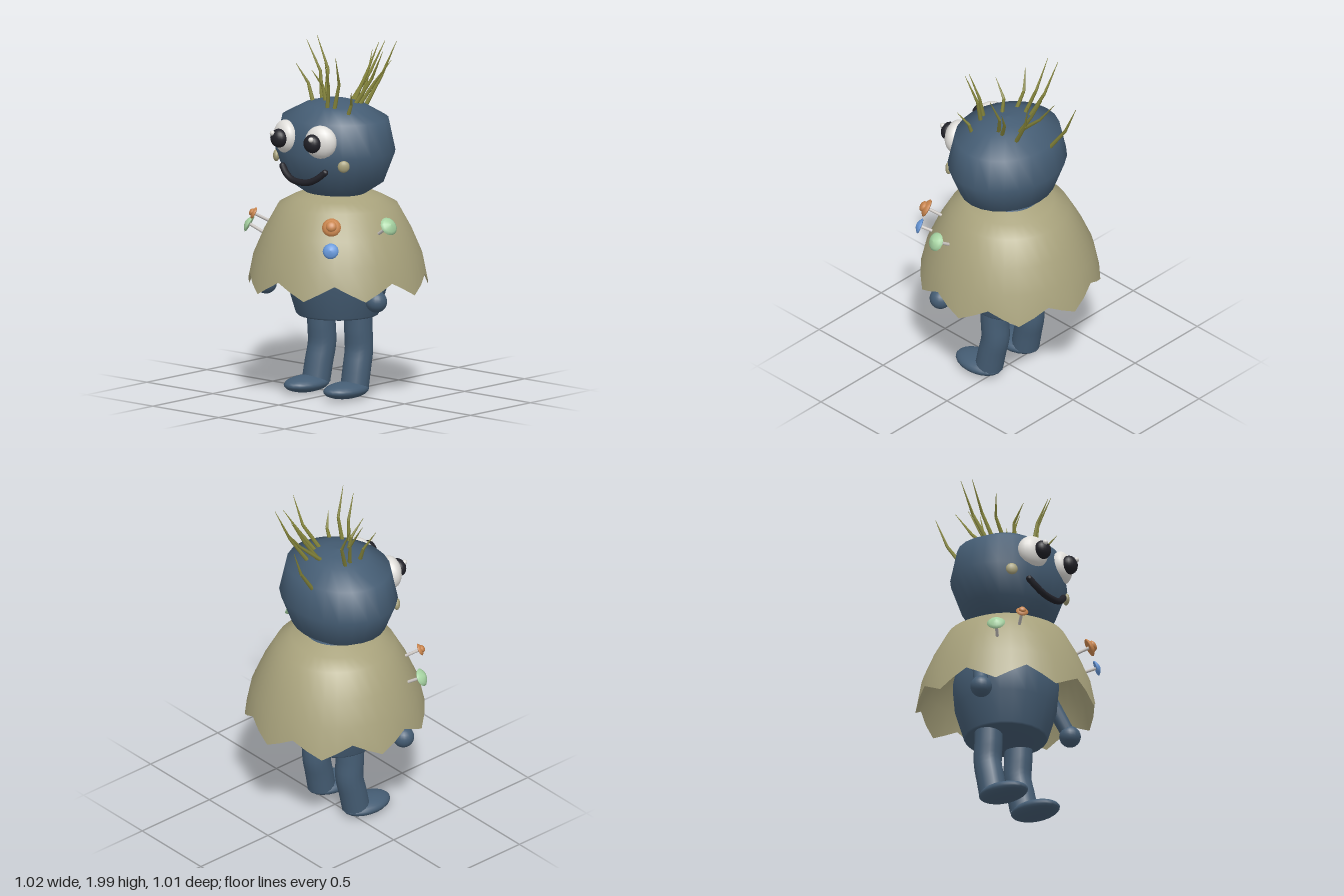
import * as THREE from 'three';

const mat = (name, color, extra = {}) => {
  const m = new THREE.MeshStandardMaterial({ color, ...extra });
  m.name = name;
  return m;
};
const V = (x, y, z) => new THREE.Vector3(x, y, z);
const UP = V(0, 1, 0);
const CX = -0.007; // centre line of the figure

export function createModel() {
  const group = new THREE.Group();
  const skin = mat('slateBlueSkin', 0x455d74);
  const cloth = mat('khakiCloth', 0xa8a27c, { side: THREE.DoubleSide });
  const straw = mat('oliveStraw', 0x86863c);
  const white = mat('eyeWhite', 0xe0deda);
  const black = mat('black', 0x212128);
  const green = mat('paleGreen', 0xa6d3a2);
  const orange = mat('orange', 0xc9854d);
  const blue = mat('blue', 0x6798da);
  const stemGrey = mat('stemGrey', 0xcdc8c4);

  const add = (name, geo, material, parent = group) => {
    const m = new THREE.Mesh(geo, material);
    m.name = name;
    parent.add(m);
    return m;
  };
  const lathe = (pts, seg) => new THREE.LatheGeometry(pts.map(p => new THREE.Vector2(p[0], p[1])), seg);
  const ball = (name, material, pos, scale, w = 20, h = 14) => {
    const m = add(name, new THREE.SphereGeometry(1, w, h), material);
    m.position.copy(pos);
    m.scale.set(...scale);
    return m;
  };
  // Tapered rod between two points
  const rod = (name, material, a, b, r0, r1, sides, parent = group) => {
    const d = b.clone().sub(a);
    const m = add(name, new THREE.CylinderGeometry(r1, r0, d.length(), sides), material, parent);
    m.position.copy(a).addScaledVector(d, 0.5);
    m.quaternion.setFromUnitVectors(UP, d.normalize());
    return m;
  };

  // Head: rounded, slightly shallower than wide
  const head = add('head', lathe([[0, -0.29], [0.09, -0.278], [0.18, -0.245], [0.29, -0.175], [0.36, 0],
    [0.318, 0.185], [0.18, 0.257], [0.09, 0.28], [0, 0.29]], 24), skin);
  head.position.set(CX, 1.4, 0.02);
  head.scale.z = 0.865;

  // Body, wide at the hips with a low rounded base
  add('body', lathe([[0, 0.428], [0.12, 0.437], [0.228, 0.456], [0.236, 0.466], [0.288, 0.64], [0.3, 0.78],
    [0.26, 0.97], [0.15, 1.1], [0, 1.15]], 24), skin).position.x = CX;

  // Poncho with nine pointed teeth along the hem
  const poncho = lathe([[0.51, 0.65], [0.475, 0.8], [0.415, 0.94], [0.335, 1.085], [0.25, 1.13], [0.17, 1.163]], 36);
  const p = poncho.attributes.position;
  for (let i = 0; i < p.count; i++) {
    if (p.getY(i) > 0.7) continue;
    const f = (((Math.atan2(p.getX(i), p.getZ(i)) / (2 * Math.PI)) * 9) + 9.0001) % 1;
    const tooth = 1 - Math.abs(2 * f - 1);
    const s = (0.498 + 0.012 * tooth) / 0.51;
    p.setXYZ(i, p.getX(i) * s, 0.7 - 0.09 * tooth, p.getZ(i) * s);
  }
  add('poncho', poncho, cloth).position.x = CX + 0.002;

  for (const s of [-1, 1]) {
    const side = s > 0 ? 'left' : 'right';
    const X = x => CX + s * x;

    // Legs bent at the knee, with flat oval feet
    const legPath = new THREE.CatmullRomCurve3([V(X(0.14), 0.5, -0.015), V(X(0.14), 0.38, -0.018),
      V(X(0.14), 0.27, -0.023), V(X(0.144), 0.16, 0), V(X(0.146), 0.06, 0.02)]);
    add(side + 'Leg', new THREE.TubeGeometry(legPath, 12, 0.08, 16), skin);
    ball(side + 'Foot', skin, V(X(0.15), 0.05, 0.095), [0.102, 0.047, 0.155]);

    // Arms mostly under the poncho, with round hands
    const hand = V(X(0.418), 0.595, 0.138);
    rod(side + 'Arm', skin, V(X(0.26), 0.98, 0), hand, 0.045, 0.04, 14);
    ball(side + 'Hand', skin, hand, [0.061, 0.061, 0.061]);

    // Eyes
    const eye = ball(side + 'EyeWhite', white, V(X(0.133), 1.49, 0.287), [0.094, 0.095, 0.062]);
    eye.rotation.y = s * 0.35;
    ball(side + 'Pupil', black, V(X(0.126), 1.49, 0.352), [0.053, 0.053, 0.043]);
    ball(side + 'EyeGlint', white, V(X(0.146), 1.52, 0.385), [0.015, 0.015, 0.015], 10, 8);

    // Cheek spots
    const cheek = ball(side + 'Cheek', cloth, V(X(0.256), 1.358, 0.232), [0.034, 0.034, 0.018], 14, 10);
    cheek.rotation.y = s * 0.8;
  }

  // Mouth: smiling tube with closed ends
  const mouthPts = [[-0.16, 1.318, 0.283], [-0.115, 1.28, 0.3], [-0.055, 1.253, 0.31], [0.055, 1.253, 0.31],
    [0.115, 1.28, 0.3], [0.16, 1.318, 0.283]].map(q => V(q[0] + CX, q[1], q[2]));
  add('mouth', new THREE.TubeGeometry(new THREE.CatmullRomCurve3(mouthPts), 20, 0.019, 8), black);
  for (const q of [mouthPts[0], mouthPts[5]]) ball('mouthCorner', black, q, [0.019, 0.019, 0.019], 8, 6);

  // Straw hair: root x,z / bend x,z / tip x,y,z
  const hair = [
    [-0.08, -0.228, -0.1, -0.34, -0.118, 1.89, -0.41], [0.008, -0.095, 0.012, -0.25, 0.016, 1.965, -0.37],
    [0.022, -0.1, 0.03, -0.2, 0.037, 1.97, -0.295], [0.08, -0.13, 0.115, -0.235, 0.162, 1.99, -0.305],
    [0.11, -0.05, 0.16, -0.12, 0.24, 1.91, -0.176], [0.105, -0.02, 0.17, -0.09, 0.25, 1.97, -0.093],
    [-0.13, -0.035, -0.176, -0.104, -0.272, 1.995, -0.118], [-0.126, 0, -0.176, -0.041, -0.275, 1.98, -0.036],
    [-0.13, 0.07, -0.178, 0.058, -0.233, 1.87, 0.1], [-0.025, 0.08, -0.044, 0.084, -0.058, 1.86, 0.16],
    [0.05, 0.15, 0.071, 0.162, 0.095, 1.93, 0.22], [0.088, 0.135, 0.121, 0.13, 0.154, 1.96, 0.195],
    [0.176, 0.118, 0.203, 0.118, 0.247, 1.77, 0.168]];
  for (const [rx, rz, bx, bz, tx, ty, tz] of hair) {
    const blade = new THREE.Group();
    blade.name = 'hairBlade';
    group.add(blade);
    const k = ((rx - CX) / 0.36) ** 2 + ((rz - 0.02) / 0.31) ** 2;
    const ry = 1.385 + 0.29 * Math.sqrt(Math.max(0, 1 - k));
    const bend = V(bx, ry + (ty - ry) * 0.48, bz);
    rod('bladeBase', straw, V(rx, ry, rz), bend, 0.013, 0.009, 5, blade);
    rod('bladeTip', straw, bend, V(tx, ty, tz), 0.009, 0.001, 5, blade);
  }

  // Mushroom pins: stem foot, cap centre, cap radius, colour, extra bump
  const pins = [
    [V(0.39, 0.975, 0.094), V(0.478, 1.03, 0.108), 0.054, green, false],
    [V(-0.365, 0.895, 0.208), V(-0.445, 0.948, 0.257), 0.052, green, false],
    [V(-0.27, 0.995, 0.29), V(-0.325, 1.037, 0.35), 0.036, orange, true],
    [V(0.23, 0.99, 0.305), V(0.282, 1.035, 0.37), 0.054, orange, true],
    [V(0.255, 0.875, 0.335), V(0.305, 0.907, 0.402), 0.045, blue, false]];
  for (const [foot, top, r, colour, bump] of pins) {
    const pin = new THREE.Group();
    pin.name = 'mushroomPin';
    group.add(pin);
    rod('stem', stemGrey, foot, top, 0.009, 0.009, 8, pin);
    const cap = new THREE.Group();
    cap.name = 'cap';
    cap.position.copy(top);
    cap.quaternion.setFromUnitVectors(UP, top.clone().sub(foot).normalize());
    pin.add(cap);
    add('capBrim', lathe([[0, -0.1], [0.9, -0.12], [1, 0], [0.75, 0.22], [0.35, 0.42], [0, 0.5]]
      .map(q => [q[0] * r, q[1] * r]), 14), colour, cap);
    if (bump) {
      const b = add('capBump', new THREE.SphereGeometry(r * 0.58, 14, 10), colour, cap);
      b.scale.y = 0.6;
      b.position.y = r * 0.4;
    }
  }
  return group;
}
